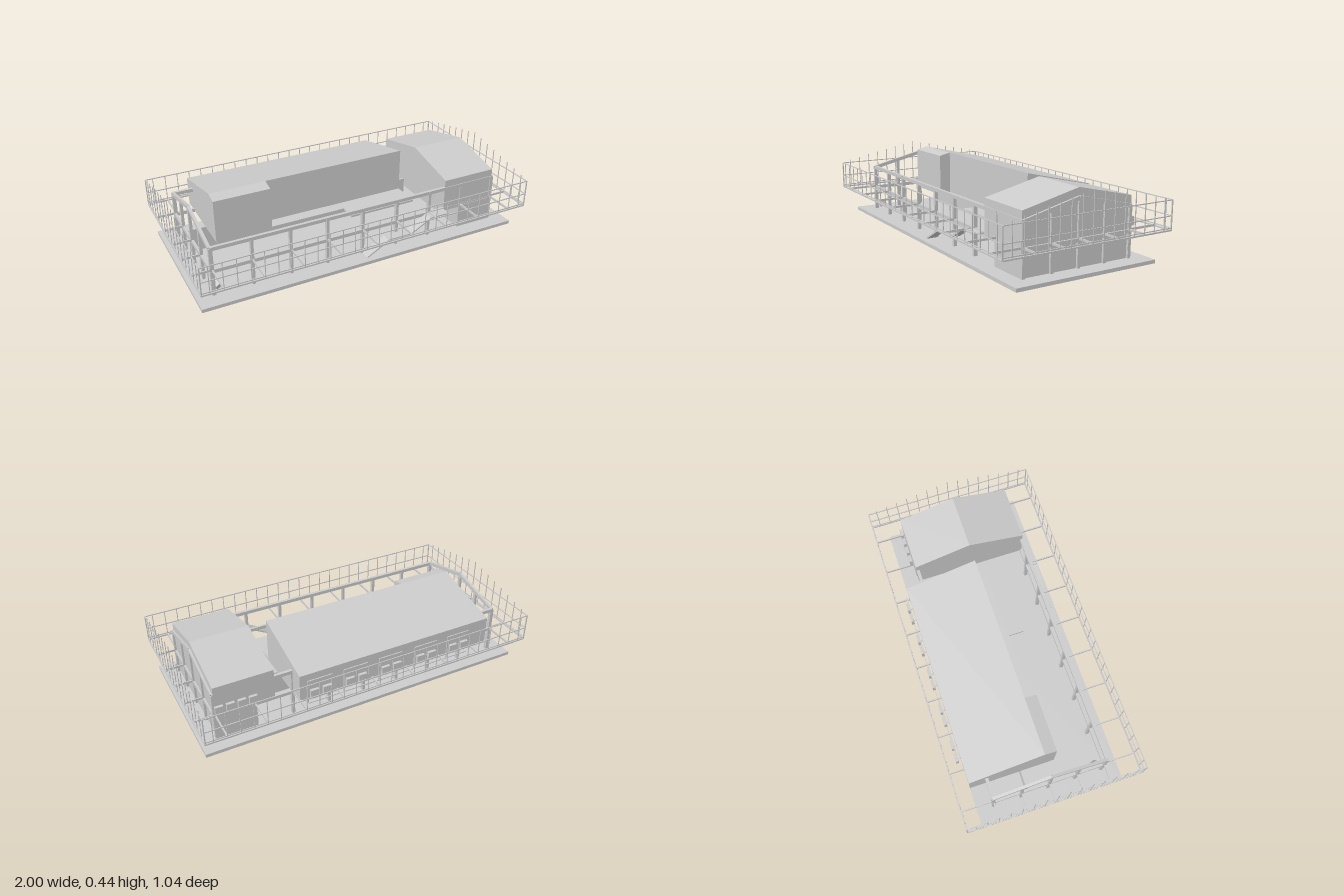
import * as THREE from 'three';

const mat = new THREE.MeshStandardMaterial({ color: 0xcccccc, flatShading: true, side: THREE.DoubleSide });

export function createModel() {
  const model = new THREE.Group();

  const add = (name, geo) => {
    const m = new THREE.Mesh(geo, mat);
    m.name = name;
    model.add(m);
    return m;
  };
  // box given by its extents
  const box = (name, x0, x1, y0, y1, z0, z1) =>
    add(name, new THREE.BoxGeometry(x1 - x0, y1 - y0, z1 - z0)
      .translate((x0 + x1) / 2, (y0 + y1) / 2, (z0 + z1) / 2));
  // square bar between two points
  const bar = (name, a, b, w, d = w) => {
    const p = new THREE.Vector3(...a), q = new THREE.Vector3(...b);
    const m = add(name, new THREE.BoxGeometry(w, d, p.distanceTo(q)));
    m.position.copy(p).add(q).multiplyScalar(0.5);
    m.lookAt(q);
    return m;
  };
  // (z, y) profile extruded from x0 to x1
  const prism = (name, pts, x0, x1) => {
    const shape = new THREE.Shape(pts.map(p => new THREE.Vector2(...p)));
    const geo = new THREE.ExtrudeGeometry(shape, { depth: x1 - x0, bevelEnabled: false });
    return add(name, geo.rotateY(-Math.PI / 2).translate(x1, 0, 0));
  };

  // Ground slab
  box('groundSlab', -0.98, 0.98, 0, 0.02, -0.43, 0.43);

  // Upper hall with single pitched roof and a front bay
  prism('upperHall', [[0, 0.17], [0, 0.43], [-0.43, 0.33], [-0.43, 0.17]], -0.77, 0.44);
  prism('frontBay', [[0.07, 0.17], [0.07, 0.414], [0, 0.43], [0, 0.17]], -0.77, -0.44);
  box('upperFloor', -0.77, 0.44, 0.16, 0.172, -0.43, 0.07);
  box('floorExtension', 0.02, 0.44, 0.16, 0.172, 0.07, 0.165);
  box('groundWall', -0.87, 0.555, 0.02, 0.16, -0.13, -0.12);

  // Gabled end block over a narrower ground floor
  prism('endBlock', [[-0.34, 0.165], [0.335, 0.165], [0.335, 0.353], [0, 0.43], [-0.34, 0.353]], 0.545, 0.882);
  box('endBlockBase', 0.65, 0.88, 0.02, 0.165, -0.34, 0.34);

  // Columns and long beams on both sides
  const xs = [-0.88, -0.66, -0.44, -0.22, 0, 0.22, 0.44, 0.66, 0.88];
  const zs = [-0.33, -0.165, 0, 0.165, 0.33];
  for (const z of [-0.33, 0.33]) {
    for (const x of xs) box('column', x - 0.008, x + 0.008, 0.02, 0.31, z - 0.01, z + 0.01);
    box('eavesBeam', -0.888, 0.888, 0.29, 0.31, z - 0.009, z + 0.009);
    box('floorBeam', -0.888, 0.888, 0.155, 0.175, z - 0.007, z + 0.007);
  }

  // Gable end frames
  for (const x of [-0.885, 0.885]) {
    for (const z of zs) {
      const top = 0.38 - Math.abs(z) * 0.235;
      box('gableColumn', x - 0.008, x + 0.008, 0.02, top, z - 0.009, z + 0.009);
    }
    box('gableFloorBeam', x - 0.007, x + 0.007, 0.155, 0.175, -0.33, 0.33);
    for (const s of [-1, 1]) bar('gableRafter', [x, 0.3, s * 0.33], [x, 0.378, 0], 0.016, 0.022);
  }
  for (const z of [-0.33, 0.33]) box('endTie', -0.885, -0.77, 0.29, 0.31, z - 0.008, z + 0.008);

  // Cantilever brackets carrying the guard rail
  for (const s of [-1, 1]) {
    for (const x of xs) bar('sideBracket', [x, 0.172, s * 0.33], [x, 0.172, s * 0.515], 0.007, 0.012);
    for (const z of zs) bar('endBracket', [s * 0.88, 0.172, z], [s * 0.995, 0.172, z], 0.007, 0.012);
  }

  // Guard rails and posts around the building
  const X = 0.996, Z = 0.516;
  for (const [y, w] of [[0.168, 0.008], [0.18, 0.005], [0.245, 0.005], [0.329, 0.005]]) {
    for (const s of [-1, 1]) {
      bar('sideRail', [-X, y, s * Z], [X, y, s * Z], w);
      bar('endRail', [s * X, y, -Z], [s * X, y, Z], w);
    }
  }
  for (const s of [-1, 1]) {
    for (let i = -13; i <= 13; i++) {
      const x = i * 0.0733;
      bar('sidePost', [x, 0.165, s * Z], [x, 0.33, s * Z], 0.004);
    }
    for (const t of [-1, 1]) bar('cornerPost', [s * X, 0.165, t * Z], [s * X, 0.33, t * Z], 0.006);
    // end posts rise with the gable
    for (let i = -7; i <= 7; i++) {
      const z = i * 0.0663;
      bar('endPost', [s * X, 0.165, z], [s * X, 0.44 - 0.2 * Math.abs(z), z], 0.004);
    }
  }

  // Outside stair: two flights and two landings
  const path = [[0, 0.02], [0.14, 0.098], [0.29, 0.098], [0.42, 0.168], [0.54, 0.168]];
  for (let i = 0; i < path.length - 1; i++) {
    const [ax, ay] = path[i], [bx, by] = path[i + 1];
    bar(i % 2 ? 'stairLanding' : 'stairFlight', [ax, ay, 0.367], [bx, by, 0.367], 0.056, 0.008);
  }

  // Equipment boxes along the back walls
  for (const x of [-0.62, -0.4, -0.17, 0.05, 0.265]) {
    for (const dx of [0, 0.075]) {
      box('wallUnit', x + dx, x + dx + 0.05, 0.19, 0.24, -0.462, -0.445);
      bar('unitBracket', [x + dx + 0.025, 0.188, -0.43], [x + dx + 0.025, 0.188, -0.462], 0.005);
    }
    bar('unitPipe', [x - 0.01, 0.295, -0.445], [x + 0.135, 0.295, -0.445], 0.006);
    bar('unitDownpipe', [x + 0.135, 0.155, -0.445], [x + 0.135, 0.295, -0.445], 0.006);
  }
  bar('servicePipe', [-0.62, 0.155, -0.45], [0.4, 0.155, -0.45], 0.005);
  for (let i = 0; i < 4; i++) {
    const x = 0.65 + i * 0.063;
    box('endBlockUnit', x, x + 0.045, 0.19, 0.24, -0.362, -0.345);
  }

  // Small tilted unit on the ground
  const unit = add('groundUnit', new THREE.BoxGeometry(0.035, 0.035, 0.035));
  unit.position.set(-0.855, 0.055, 0.3);
  unit.rotation.set(0.3, 0.4, 0.3);

  return model;
}
